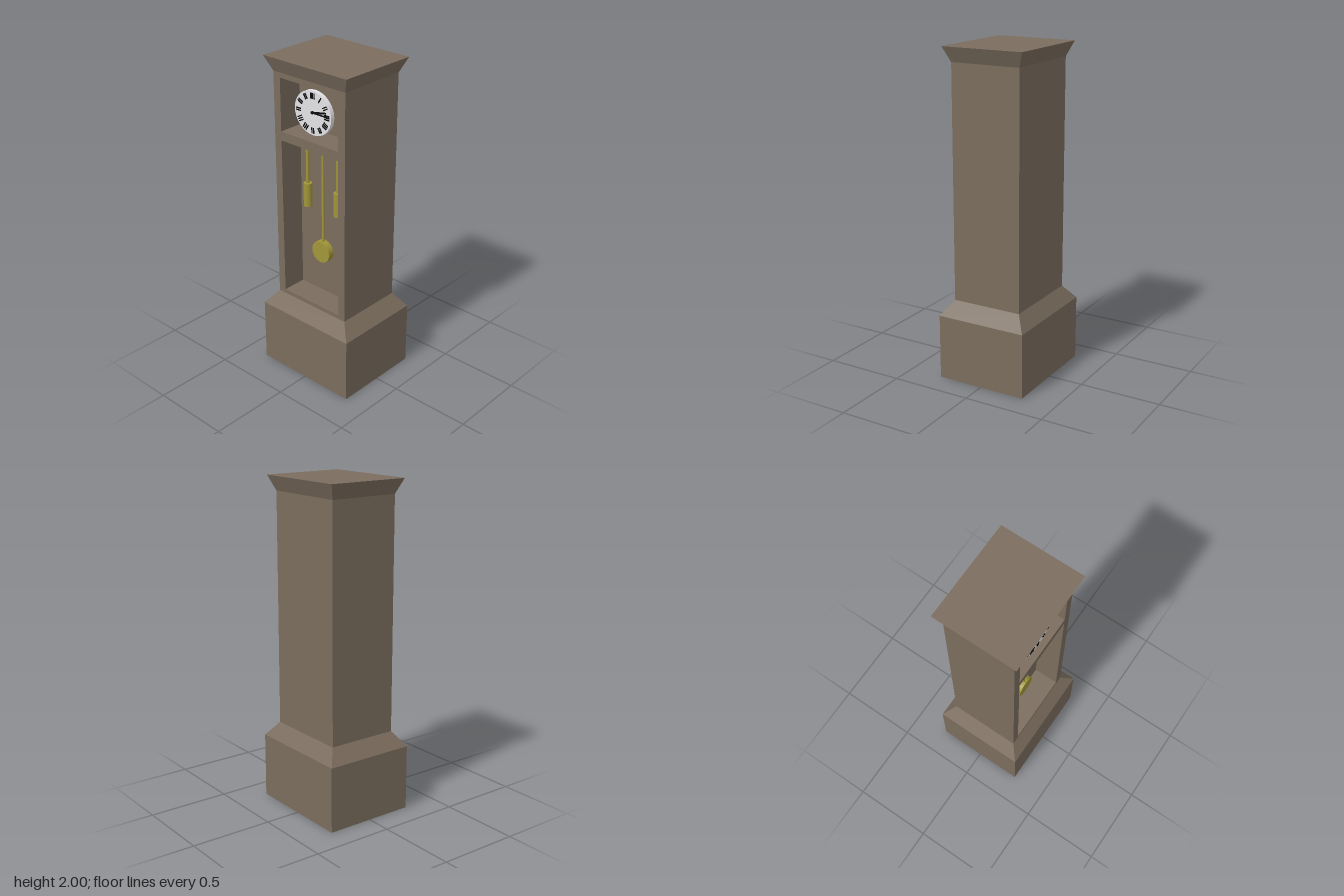
import * as THREE from 'three';

const wood = new THREE.MeshStandardMaterial({ color: 0x7b6d5e });
wood.name = 'wood';
const brass = new THREE.MeshStandardMaterial({ color: 0xa2963a });
brass.name = 'brass';
const enamel = new THREE.MeshStandardMaterial({ color: 0xe6e6ea });
enamel.name = 'white enamel';
const black = new THREE.MeshStandardMaterial({ color: 0x0c0c0c });
black.name = 'black paint';

const CASE = { x: 0.268, z: 0.22, bottom: 0.49, top: 1.91 };
const RECESS_Z = 0.065; // back wall of both openings

export function createModel() {
  const model = new THREE.Group();
  model.name = 'longcaseClock';

  function add(name, geometry, material, x = 0, y = 0, z = 0, parent = model) {
    const mesh = new THREE.Mesh(geometry, material);
    mesh.name = name;
    mesh.position.set(x, y, z);
    parent.add(mesh);
    return mesh;
  }

  // Box whose top and bottom rectangles differ (half sizes)
  function taper(name, y0, y1, x0, z0, x1, z1) {
    const geometry = new THREE.BoxGeometry(2, y1 - y0, 2);
    const p = geometry.attributes.position;
    for (let i = 0; i < p.count; i++) {
      const top = p.getY(i) > 0;
      p.setX(i, p.getX(i) * (top ? x1 : x0));
      p.setZ(i, p.getZ(i) * (top ? z1 : z0));
    }
    geometry.computeVertexNormals();
    add(name, geometry, wood, 0, (y0 + y1) / 2, 0);
  }

  // Plinth, sloping shoulder and flared crown
  taper('plinth', 0, 0.4, 0.342, 0.284, 0.342, 0.284);
  taper('shoulder', 0.4, CASE.bottom, 0.342, 0.284, CASE.x, CASE.z);
  taper('crown', CASE.top, 2, CASE.x, CASE.z, 0.308, 0.257);

  // Case: solid rear with a deep front frame cut by two openings
  const rect = (shape, x0, y0, x1, y1) =>
    shape.moveTo(x0, y0).lineTo(x1, y0).lineTo(x1, y1).lineTo(x0, y1).closePath();
  const frame = new THREE.Shape();
  rect(frame, -CASE.x, CASE.bottom, CASE.x, CASE.top);
  for (const [y0, y1] of [[0.515, 1.505], [1.56, 1.88]]) {
    const hole = new THREE.Path();
    rect(hole, -0.218, y0, 0.218, y1);
    frame.holes.push(hole);
  }
  add('caseFront', new THREE.ExtrudeGeometry(frame, { depth: CASE.z - RECESS_Z, bevelEnabled: false }),
    wood, 0, 0, RECESS_Z);
  add('caseRear', new THREE.BoxGeometry(CASE.x * 2, CASE.top - CASE.bottom, CASE.z + RECESS_Z),
    wood, 0, (CASE.top + CASE.bottom) / 2, (RECESS_Z - CASE.z) / 2);

  // Dial, slightly wider than tall
  const clock = new THREE.Group();
  clock.name = 'clockFace';
  clock.position.set(0, 1.717, 0.175);
  clock.scale.x = 1.06;
  model.add(clock);
  add('dial', new THREE.CylinderGeometry(0.13, 0.13, 0.025, 32).rotateX(Math.PI / 2), enamel, 0, 0, 0, clock);

  // Hour marks: small groups of radial strokes, one to three per hour
  const strokes = [3, 1, 2, 3, 3, 2, 2, 3, 3, 2, 2, 2];
  strokes.forEach((count, hour) => {
    const mark = new THREE.Group();
    mark.name = 'hourMark';
    mark.rotation.z = -hour * Math.PI / 6;
    clock.add(mark);
    for (let i = 0; i < count; i++) {
      add('stroke', new THREE.BoxGeometry(0.0065, 0.034, 0.004), black,
        (i - (count - 1) / 2) * 0.012, 0.101, 0.014, mark);
    }
  });

  // Hands, with a small hub
  function hand(name, length, width, angle, z) {
    const geometry = new THREE.BoxGeometry(length, width, 0.004).translate(length / 2 - 0.01, 0, 0);
    add(name, geometry, black, 0, 0.005, z, clock).rotation.z = angle;
  }
  hand('hourHand', 0.105, 0.01, 0.2, 0.015);
  hand('minuteHand', 0.13, 0.007, 0, 0.018);
  add('hub', new THREE.CylinderGeometry(0.009, 0.009, 0.008, 12).rotateX(Math.PI / 2), black, 0, 0.005, 0.016, clock);

  // Vertical brass cylinder between two heights
  const rod = (name, x, y0, y1, r) =>
    add(name, new THREE.CylinderGeometry(r, r, y1 - y0, 16), brass, x, (y0 + y1) / 2, 0.11);

  // Pendulum with its disc bob
  rod('pendulumRod', 0, 0.87, 1.505, 0.008);
  add('pendulumBob', new THREE.CylinderGeometry(0.068, 0.068, 0.04, 28).rotateX(Math.PI / 2),
    brass, -0.004, 0.82, 0.11);

  // Two hanging weights
  for (const [side, x, y] of [['right', -0.12, 1.085], ['left', 0.117, 1.095]]) {
    rod(side + 'WeightRod', x, y + 0.14, 1.505, 0.01);
    rod(side + 'Weight', x, y, y + 0.148, 0.026);
  }

  return model;
}
